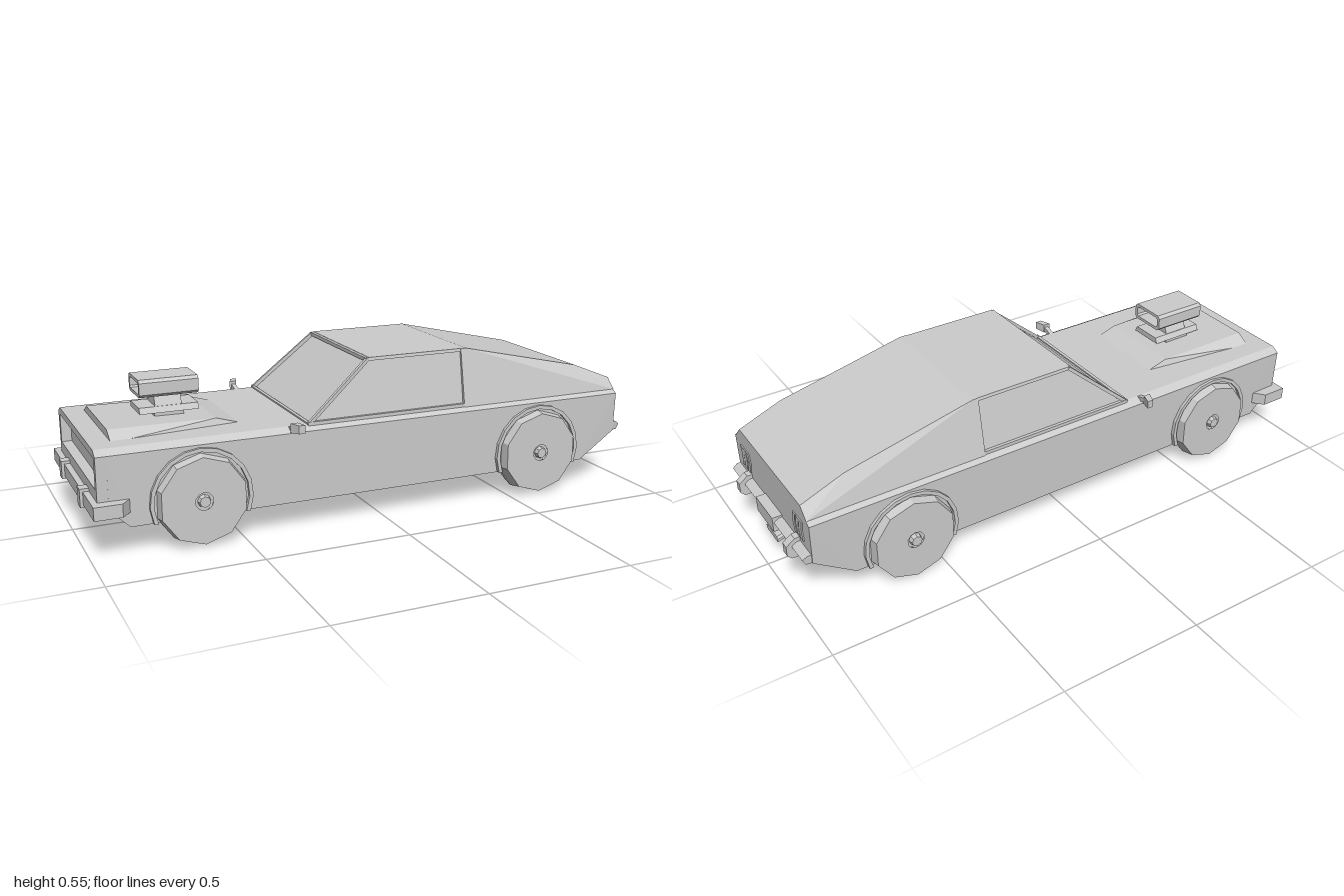
import * as THREE from 'three';
import { ConvexGeometry } from 'three/addons/geometries/ConvexGeometry.js';

const material = new THREE.MeshStandardMaterial({ color: 0xcccccc, flatShading: true, side: THREE.DoubleSide });

export function createModel() {
  const car = new THREE.Group();
  car.name = 'car';

  const add = (name, geometry, parent = car) => {
    const mesh = new THREE.Mesh(geometry, material);
    mesh.name = name;
    parent.add(mesh);
    return mesh;
  };
  // box given by its limits on each axis
  const box = (name, x0, x1, y0, y1, z0, z1) =>
    add(name, new THREE.BoxGeometry(x1 - x0, y1 - y0, z1 - z0).translate((x0 + x1) / 2, (y0 + y1) / 2, (z0 + z1) / 2));
  // convex solid from half points [x, y, z], mirrored over z
  const hull = (name, points) =>
    add(name, new ConvexGeometry(points.flatMap(([x, y, z]) => [new THREE.Vector3(x, y, z), new THREE.Vector3(x, y, -z)])));
  // square bar between two points
  const bar = (name, a, b, size) => {
    const p = new THREE.Vector3(...a), q = new THREE.Vector3(...b);
    const mesh = add(name, new THREE.BoxGeometry(size, size, p.distanceTo(q) + size * 0.5));
    mesh.position.copy(p).lerp(q, 0.5);
    mesh.lookAt(q);
    return mesh;
  };
  const shapeOf = (points) => new THREE.Shape(points.map(([x, y]) => new THREE.Vector2(x, y)));
  // outline in (-z, y), extruded along +x from x0 to x1
  const extrudeX = (name, shape, x0, x1) =>
    add(name, new THREE.ExtrudeGeometry(shape, { depth: x1 - x0, bevelEnabled: false }).rotateY(Math.PI / 2).translate(x0, 0, 0));

  // lower body with chamfered shoulders and sloped ends
  const section = (x, bottom) => [[x, bottom, 0.295], [x, 0.333, 0.3], [x, 0.35, 0.272]];
  hull('body', [...section(-0.935, 0.155), ...section(-0.87, 0.093), ...section(0.81, 0.093), ...section(0.952, 0.19)]);

  // nose frame around the recessed grille
  const nose = shapeOf([[-0.295, 0.18], [0.295, 0.18], [0.3, 0.333], [0.272, 0.35], [-0.272, 0.35], [-0.3, 0.333]]);
  nose.holes.push(shapeOf([[-0.275, 0.225], [-0.275, 0.325], [0.275, 0.325], [0.275, 0.225]]));
  extrudeX('noseFrame', nose, -0.97, -0.93);

  // cabin: inset glasshouse, roof panel and solid fastback
  hull('glasshouse', [[-0.255, 0.345, 0.272], [-0.03, 0.538, 0.239], [0.33, 0.538, 0.239], [0.33, 0.345, 0.272]]);
  hull('roof', [[-0.04, 0.535, 0.246], [-0.03, 0.546, 0.244], [0.34, 0.546, 0.244], [0.34, 0.535, 0.246]]);
  hull('fastback', [[0.32, 0.345, 0.284], [0.32, 0.546, 0.246], [0.34, 0.546, 0.246], [0.8, 0.443, 0.246],
    [0.952, 0.382, 0.246], [0.952, 0.345, 0.284]]);
  bar('windshieldTop', [-0.037, 0.539, -0.24], [-0.037, 0.539, 0.24], 0.012);
  bar('windshieldBase', [-0.262, 0.349, -0.274], [-0.262, 0.349, 0.274], 0.012);
  for (const s of [-1, 1]) {
    bar('windshieldPillar', [-0.262, 0.349, s * 0.275], [-0.037, 0.539, s * 0.241], 0.012);
    bar('windowSill', [-0.262, 0.351, s * 0.275], [0.32, 0.351, s * 0.275], 0.012);
  }

  // raised wedge on the bonnet
  hull('bonnetWedge', [[-0.9, 0.345, 0.21], [-0.9, 0.376, 0.158], [-0.54, 0.372, 0.155], [-0.46, 0.348, 0.155]]);

  // blower: flared foot, neck and a hollow intake
  hull('blowerFoot', [[-0.77, 0.385, 0.065], [-0.57, 0.385, 0.065], [-0.77, 0.405, 0.055], [-0.57, 0.405, 0.055]]);
  box('blowerBase', -0.72, -0.62, 0.365, 0.39, -0.06, 0.06);
  hull('blowerNeck', [[-0.715, 0.4, 0.055], [-0.625, 0.4, 0.055], [-0.715, 0.445, 0.035], [-0.625, 0.445, 0.035]]);
  const octagon = (w, y0, y1, c) => shapeOf([[-w + c, y0], [w - c, y0], [w, y0 + c], [w, y1 - c],
    [w - c, y1], [-w + c, y1], [-w, y1 - c], [-w, y0 + c]]);
  const intake = octagon(0.07, 0.44, 0.5, 0.01);
  intake.holes.push(octagon(0.058, 0.451, 0.489, 0.006));
  extrudeX('blowerIntake', intake, -0.77, -0.57);
  box('intakePlate', -0.68, -0.66, 0.447, 0.493, -0.062, 0.062);

  // front bumper with wrapped corners
  box('frontBumper', -0.99, -0.93, 0.143, 0.187, -0.3, 0.3);
  for (const s of [-1, 1]) {
    add('frontBumperCorner', new ConvexGeometry([0.143, 0.187].flatMap((y) =>
      [[-0.99, 0.29], [-0.99, 0.335], [-0.9, 0.335], [-0.87, 0.298], [-0.87, 0.29]].map(([x, z]) => new THREE.Vector3(x, y, s * z)))));
    box('frontBumperGuard', -1, -0.97, 0.135, 0.197, s * 0.155 - 0.02, s * 0.155 + 0.02);
  }

  // rear bumper, guards and plate
  hull('rearBumper', [[0.945, 0.19, 0.292], [0.972, 0.19, 0.288], [0.982, 0.21, 0.288], [0.965, 0.222, 0.292], [0.945, 0.222, 0.292]]);
  box('rearPlate', 0.95, 0.986, 0.175, 0.23, -0.068, 0.068);
  for (const s of [-1, 1]) {
    add('rearBumperGuard', new ConvexGeometry([[0.95, 0.165], [0.985, 0.165], [1, 0.18], [1, 0.215], [0.97, 0.237], [0.95, 0.237]]
      .flatMap(([x, y]) => [0.181, 0.209].map((z) => new THREE.Vector3(x, y, s * z)))));
    // chevron tail lights
    for (const z of [0.25, 0.228, 0.202]) {
      const chevron = [[z, 0.32], [z - 0.022, 0.32], [z - 0.029, 0.285], [z - 0.02, 0.245], [z - 0.002, 0.245], [z - 0.009, 0.285]];
      extrudeX('tailLight', shapeOf(chevron.map(([a, y]) => [-s * a, y])), 0.948, 0.956);
    }
  }

  // flat bent exhaust tip
  const exhaust = [[0.82, 0.108], [0.9, 0.103], [0.962, 0.086]];
  for (let i = 0; i < 2; i++) {
    const [[x0, y0], [x1, y1]] = [exhaust[i], exhaust[i + 1]];
    add('exhaust', new ConvexGeometry([[x0, y0], [x1, y1]].flatMap(([x, y]) =>
      [[-0.048, 0.005], [-0.04, 0], [0.04, 0], [0.048, 0.005], [0.048, 0.015], [0.04, 0.021], [-0.04, 0.021], [-0.048, 0.015]]
        .map(([z, dy]) => new THREE.Vector3(x, y + dy, 0.027 + z)))));
  }

  // door mirrors
  for (const s of [-1, 1]) {
    add('mirror', new ConvexGeometry([[-0.34, 0.31, 0.338], [-0.315, 0.31, 0.338], [-0.325, 0.348, 0.342], [-0.303, 0.348, 0.342]]
      .flatMap(([x, z, y]) => [y, 0.37].map((h) => new THREE.Vector3(x, h, s * z)))));
    bar('mirrorArm', [-0.325, 0.342, s * 0.278], [-0.325, 0.352, s * 0.315], 0.016);
  }

  // wheels: ten-sided crowned tyre, slotted rim, hub and arch lip
  const tyre = new THREE.LatheGeometry([[0.11, 0.035], [0.118, 0.05], [0.145, 0.05], [0.155, 0], [0.145, -0.05], [0.03, -0.05]]
    .map(([r, h]) => new THREE.Vector2(r, -h)), 10).rotateX(Math.PI / 2);
  const rimShape = new THREE.Shape().absarc(0, 0, 0.116, 0, Math.PI * 2);
  for (let i = 0; i < 8; i++) {
    const a = (i + 0.5) * Math.PI / 4;
    rimShape.holes.push(shapeOf([[0.032, -0.14], [0.08, -0.27], [0.08, 0.27], [0.032, 0.14]]
      .map(([r, d]) => [r * Math.cos(a + d), r * Math.sin(a + d)])));
  }
  const rim = new THREE.ExtrudeGeometry(rimShape, { depth: 0.02, bevelEnabled: false, curveSegments: 10 }).translate(0, 0, 0.022);
  const backing = new THREE.CylinderGeometry(0.11, 0.11, 0.01, 10).rotateX(Math.PI / 2).translate(0, 0, 0.015);
  const hub = new THREE.CylinderGeometry(0.018, 0.024, 0.025, 8).rotateX(Math.PI / 2).translate(0, 0, 0.046);
  const archShape = new THREE.Shape();
  archShape.absarc(0, 0, 0.17, -0.37, Math.PI + 0.37, false);
  archShape.absarc(0, 0, 0.157, Math.PI + 0.4, -0.4, true);
  const arch = new THREE.ExtrudeGeometry(archShape, { depth: 0.03, bevelEnabled: false, curveSegments: 6 });

  for (const x of [-0.64, 0.613]) {
    for (const s of [-1, 1]) {
      const wheel = new THREE.Group();
      wheel.name = 'wheel';
      wheel.position.set(x, 0.155, s * 0.28);
      if (s < 0) wheel.rotation.y = Math.PI;
      add('tyre', tyre, wheel);
      add('rim', rim, wheel);
      add('rimBacking', backing, wheel);
      add('hub', hub, wheel);
      add('wheelArch', arch, wheel);
      car.add(wheel);
    }
  }
  return car;
}
